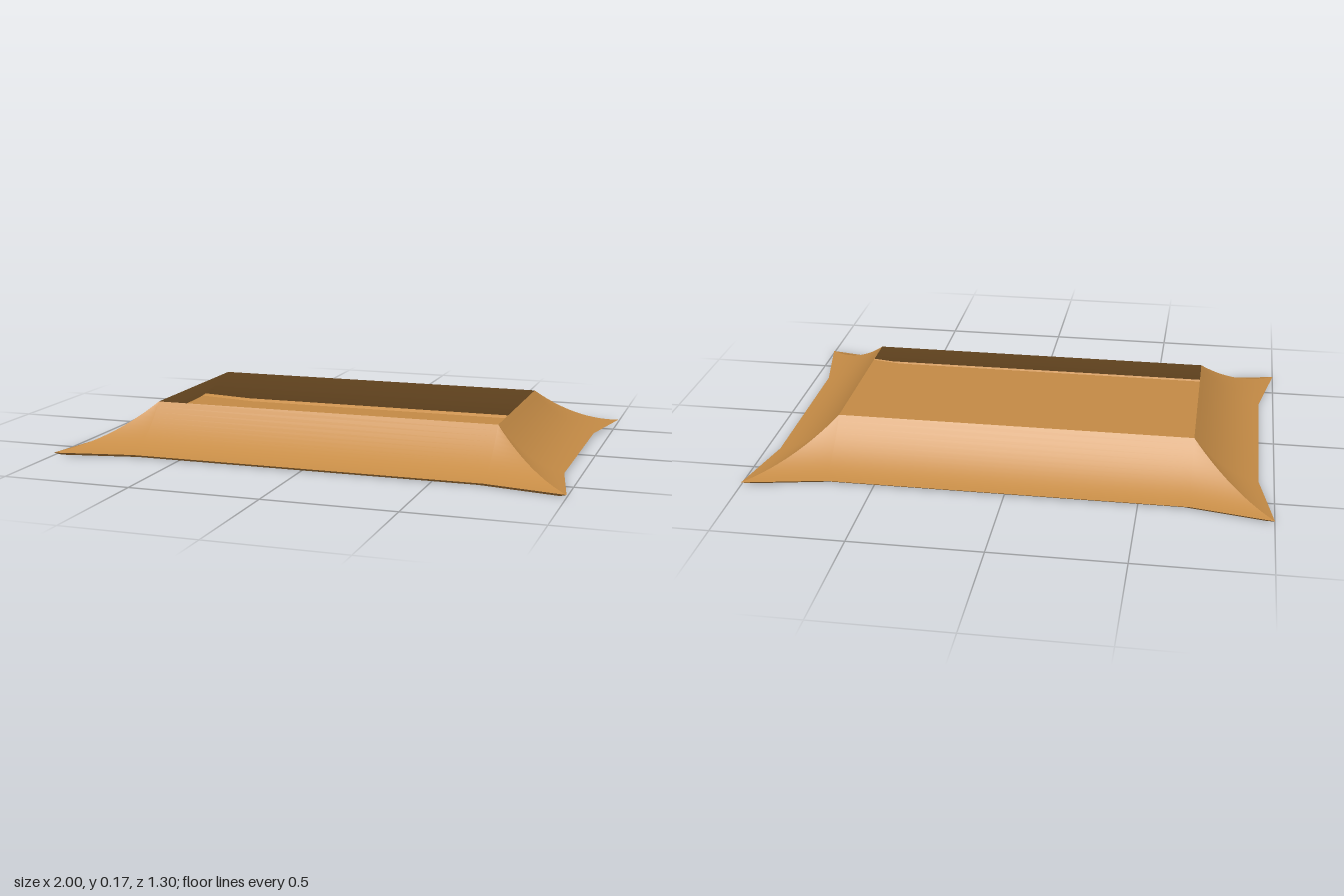
import * as THREE from 'three';

const RIM = 0.01;      // height of the eave edge
const TOP = 0.175;     // height of the open top
const ROWS = 14;

// One concave roof slope facing +z: half widths and outward distances of top, eave and tip
function slopeGeometry(topHalf, topOut, eaveOut, tipHalf, tipOut) {
  const columns = [
    [-topHalf, -tipHalf, tipOut],
    [-topHalf, -topHalf, eaveOut],
    [topHalf, topHalf, eaveOut],
    [topHalf, tipHalf, tipOut],
  ];
  const positions = [];
  const index = [];
  for (const [x0, x1, z1] of columns) {
    for (let j = 0; j <= ROWS; j++) {
      // quadratic sweep: steep at the top, nearly flat at the eave
      const t = j / ROWS;
      const run = 2 * t * (1 - t) * 0.48 + t * t;
      const y = (1 - t) ** 2 * TOP + 2 * t * (1 - t) * 0.034 + t * t * RIM;
      positions.push(x0 + (x1 - x0) * run, y, topOut + (z1 - topOut) * run);
    }
  }
  for (let i = 0; i < 3; i++) {
    for (let j = 0; j < ROWS; j++) {
      const a = i * (ROWS + 1) + j;
      const d = a + ROWS + 1;
      index.push(a, a + 1, d + 1);
      if (i === 1 || j > 0) index.push(a, d + 1, d); // outer columns meet at the top corner
    }
  }
  const geometry = new THREE.BufferGeometry();
  geometry.setAttribute('position', new THREE.Float32BufferAttribute(positions, 3));
  geometry.setIndex(index);
  geometry.computeVertexNormals();
  return geometry;
}

// Narrow bevel from the eave edge in to the flat underside
function rimGeometry(outline, inset) {
  const positions = [];
  const index = [];
  const n = outline.length;
  outline.forEach(([x, z], k) => {
    positions.push(x, RIM, z, x * inset, 0, z * inset);
    const a = 2 * k;
    const d = 2 * ((k + 1) % n);
    index.push(a, a + 1, d + 1, a, d + 1, d);
  });
  const geometry = new THREE.BufferGeometry();
  geometry.setAttribute('position', new THREE.Float32BufferAttribute(positions, 3));
  geometry.setIndex(index);
  geometry.computeVertexNormals();
  return geometry;
}

export function createModel() {
  const group = new THREE.Group();
  group.name = 'flaredRoof';
  const ochre = new THREE.MeshStandardMaterial({ color: 0xc68c46, side: THREE.DoubleSide });
  ochre.name = 'ochre';

  const add = (name, geometry, turn = 0) => {
    const mesh = new THREE.Mesh(geometry, ochre);
    mesh.name = name;
    mesh.rotation.y = turn;
    group.add(mesh);
  };

  // Four slopes around the open top
  const longSlope = slopeGeometry(0.69, 0.35, 0.59, 1, 0.65);
  const shortSlope = slopeGeometry(0.35, 0.69, 0.94, 0.65, 1);
  add('frontSlope', longSlope);
  add('leftSlope', shortSlope, Math.PI / 2);
  add('backSlope', longSlope, Math.PI);
  add('rightSlope', shortSlope, -Math.PI / 2);

  // Eave outline in plan, with pointed corners
  const half = [[1, 0.65], [0.94, 0.35], [0.94, -0.35], [1, -0.65], [0.69, -0.59], [-0.69, -0.59]];
  const outline = [...half, ...half.map(([x, z]) => [-x, -z])];
  const inset = 0.975;
  add('eaveRim', rimGeometry(outline, inset));

  // Flat floor, seen from below and through the open top
  const shape = new THREE.Shape(outline.map(([x, z]) => new THREE.Vector2(x * inset, z * inset)));
  add('floor', new THREE.ShapeGeometry(shape).rotateX(Math.PI / 2));

  return group;
}
